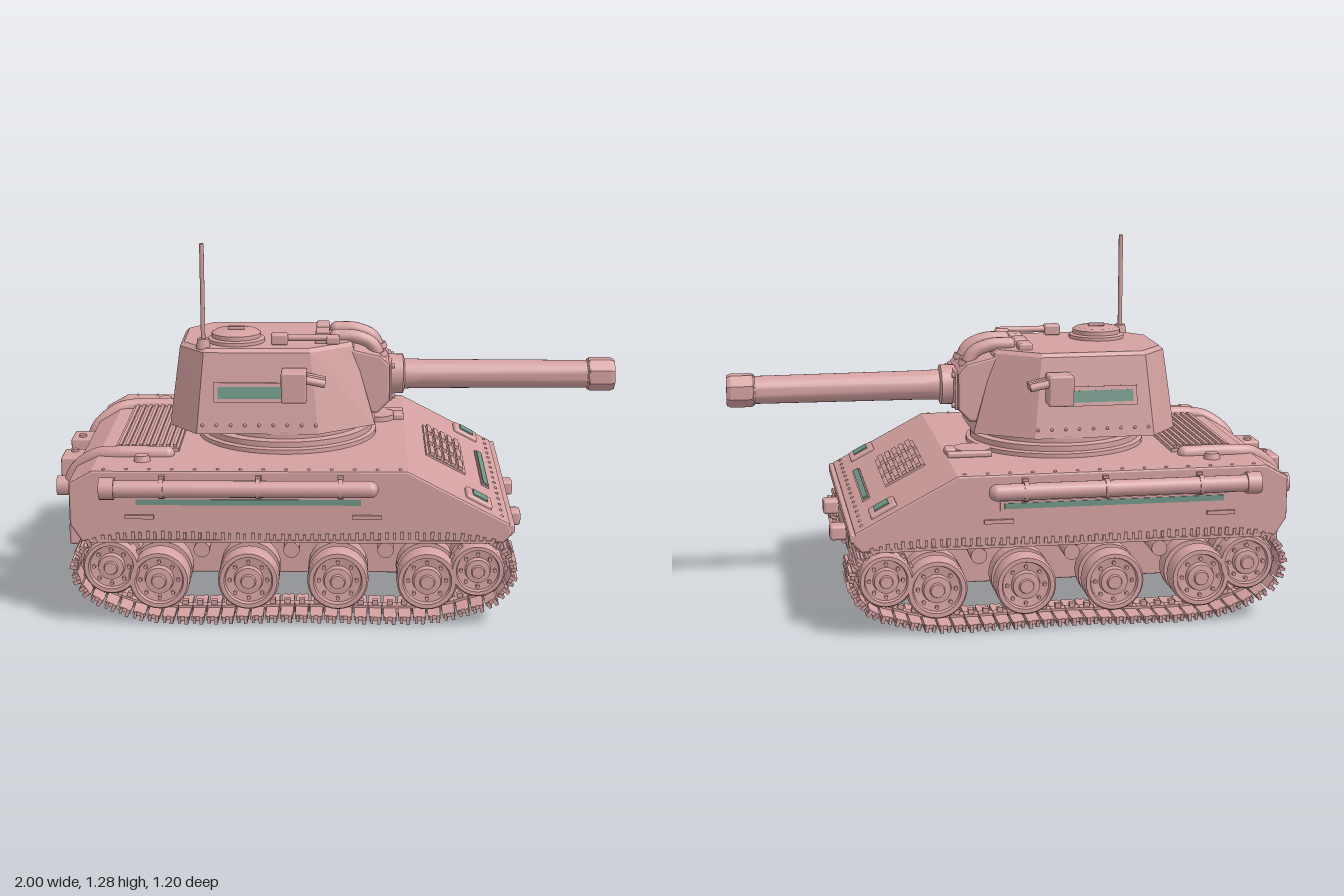
import * as THREE from 'three';
import { mergeGeometries, toCreasedNormals } from 'three/addons/utils/BufferGeometryUtils.js';
import { RoundedBoxGeometry } from 'three/addons/geometries/RoundedBoxGeometry.js';
import { ConvexGeometry } from 'three/addons/geometries/ConvexGeometry.js';

const SLOPE = -Math.atan(0.185 / 0.35); // tilt of the sloping bow plate
const slopeX = y => 0.24 + (0.555 - y) / 0.185 * 0.35;
const V = (x, y, z) => new THREE.Vector3(x, y, z);

export function createModel() {
  const model = new THREE.Group();
  const paint = new THREE.MeshStandardMaterial({ color: 0xd4a0a0 });
  paint.name = 'rose paint';
  const glass = new THREE.MeshStandardMaterial({ color: 0x6f9686 });
  glass.name = 'green glass';

  const add = (name, geo, pos = [0, 0, 0], rot = [0, 0, 0], mat = paint, parent = model) => {
    const m = new THREE.Mesh(geo, mat);
    m.name = name;
    m.position.set(...pos);
    m.rotation.set(...rot);
    parent.add(m);
    return m;
  };
  const box = (w, h, d) => new THREE.BoxGeometry(w, h, d);
  const rbox = (w, h, d, r = 0.008) => new RoundedBoxGeometry(w, h, d, 2, r);
  const cyl = (r, h, n = 24, r2 = r) => new THREE.CylinderGeometry(r2, r, h, n);
  const lathe = (pts, n = 32) =>
    toCreasedNormals(new THREE.LatheGeometry(pts.map(p => new THREE.Vector2(...p)), n), 0.6);
  const tube = (pts, r) =>
    new THREE.TubeGeometry(new THREE.CatmullRomCurve3(pts.map(p => V(...p)), false, 'centripetal'), 32, r, 14);
  // Side profile in x and y, extruded symmetrically across z
  const slab = (pts, half, bevel) => {
    const shape = new THREE.Shape(pts.map(p => new THREE.Vector2(...p)));
    const g = new THREE.ExtrudeGeometry(shape, {
      depth: 2 * (half - bevel), bevelEnabled: bevel > 0, bevelSize: bevel, bevelThickness: bevel,
      bevelOffset: -bevel, bevelSegments: 2 });
    return g.translate(0, 0, bevel - half);
  };
  const rivets = (name, list, r = 0.006) =>
    add(name, mergeGeometries(list.map(p => new THREE.SphereGeometry(r, 6, 4).translate(...p))));

  // Hull
  add('upperHull', slab([[-0.92, 0.36], [-0.88, 0.3], [0.57, 0.3], [0.6, 0.33], [0.59, 0.37], [0.24, 0.555],
    [-0.84, 0.555], [-0.92, 0.51]], 0.532, 0.008));
  add('lowerHull', slab([[-0.9, 0.32], [-0.9, 0.24], [-0.78, 0.108], [0.44, 0.108], [0.595, 0.235],
    [0.6, 0.325]], 0.302, 0.006));
  add('bowLip', rbox(0.03, 0.035, 1.06), [0.593, 0.35, 0]);

  // Bow grilles, vision strip and bow hooks
  for (const z of [-0.14, 0, 0.14]) {
    add('grilleFrame', box(0.16, 0.014, 0.112), [slopeX(0.48), 0.48, z], [0, 0, SLOPE]);
    for (let i = 0; i < 5; i++) {
      const y = 0.454 + i * 0.0135;
      add('grilleSlat', box(0.018, 0.014, 0.1), [slopeX(y) + 0.005, y + 0.009, z], [0, 0, SLOPE]);
    }
  }
  add('visionFrame', box(0.03, 0.012, 0.44), [slopeX(0.405), 0.405, 0], [0, 0, SLOPE]);
  add('visionStrip', box(0.02, 0.008, 0.42), [slopeX(0.405) + 0.003, 0.411, 0], [0, 0, SLOPE], glass);

  // Driver hatch
  add('driverHatch', cyl(0.068, 0.022, 28), [0.14, 0.563, -0.18]);
  add('driverHatchHinge', rbox(0.16, 0.022, 0.03), [0.16, 0.565, -0.25]);
  add('driverPeriscope', rbox(0.04, 0.03, 0.06), [0.22, 0.562, -0.18]);

  // Engine deck
  add('engineDeck', box(0.225, 0.02, 0.58), [-0.675, 0.558, 0]);
  for (let i = 0; i < 9; i++) add('deckSlat', box(0.012, 0.012, 0.56), [-0.771 + i * 0.024, 0.571, 0]);

  // Track path shared by both sides
  const path = new THREE.CatmullRomCurve3([[-0.64, 0.026], [-0.15, 0.026], [0.33, 0.026], [0.44, 0.052],
    [0.54, 0.09], [0.602, 0.19], [0.56, 0.28], [0.46, 0.312], [-0.15, 0.312], [-0.77, 0.312], [-0.868, 0.28],
    [-0.905, 0.2], [-0.868, 0.115], [-0.78, 0.065]].map(p => V(p[0], p[1], 0)), true, 'centripetal');
  const LINKS = 64;
  const link = () => mergeGeometries([
    box(0.044, 0.014, 0.21), box(0.012, 0.026, 0.225).translate(0.012, -0.006, 0),
    box(0.01, 0.022, 0.225).translate(-0.012, -0.005, 0), box(0.05, 0.03, 0.035),
    box(0.02, 0.03, 0.02).translate(0, 0.016, 0)]);
  const wheelProfile = r => [[0, -0.09], [r, -0.09], [r, -0.02], [r * 0.6, -0.02], [r * 0.6, 0.02], [r, 0.02],
    [r, 0.078], [r * 0.94, 0.088], [r * 0.8, 0.088], [r * 0.76, 0.074], [r * 0.48, 0.07], [r * 0.44, 0.09],
    [r * 0.25, 0.092], [r * 0.22, 0.102], [0, 0.102]];

  for (const s of [-1, 1]) {
    // Track
    const links = [];
    for (let i = 0; i < LINKS; i++) {
      const p = path.getPointAt(i / LINKS), t = path.getTangentAt(i / LINKS);
      links.push(link().rotateZ(Math.atan2(t.y, t.x)).translate(p.x, p.y, s * 0.425));
    }
    add('track', mergeGeometries(links));

    // Road wheels, idler and drive wheel
    const wheels = [[-0.62, 0.152, 0.106], [-0.31, 0.152, 0.106], [0, 0.152, 0.106], [0.31, 0.152, 0.106],
      [-0.785, 0.2, 0.098], [0.485, 0.19, 0.094]];
    wheels.forEach(([x, y, r], i) => {
      const g = new THREE.Group();
      g.name = i < 4 ? 'roadWheel' : i === 4 ? 'idlerWheel' : 'driveWheel';
      g.position.set(x, y, s * 0.425);
      g.rotation.x = s * Math.PI / 2;
      model.add(g);
      add('wheelBody', lathe(wheelProfile(r)), [0, 0, 0], [0, 0, 0], paint, g);
      for (let k = 0; k < 8; k++) {
        const a = k * Math.PI / 4;
        add('wheelBolt', cyl(0.007, 0.02, 6), [Math.cos(a) * r * 0.62, 0.074, Math.sin(a) * r * 0.62], [0, 0, 0], paint, g);
      }
      if (i > 3) for (let k = 0; k < 14; k++) {
        const a = k * Math.PI / 7;
        add('wheelTooth', box(0.02, 0.02, 0.016), [Math.cos(a) * r, 0.045, Math.sin(a) * r], [0, -a, 0], paint, g);
      }
      add('axle', cyl(0.03, 0.14, 12), [x, y, s * 0.32], [Math.PI / 2, 0, 0]);
    });
    for (const x of [-0.47, -0.16, 0.165])
      add('returnRoller', cyl(0.028, 0.2, 18), [x, 0.265, s * 0.41], [Math.PI / 2, 0, 0]);

    // Side stowage tube
    add('sideTube', cyl(0.029, 0.9, 20), [-0.34, 0.5, s * 0.562], [0, 0, Math.PI / 2]);
    add('sideTubeEnd', new THREE.SphereGeometry(0.029, 18, 12), [0.11, 0.5, s * 0.562]);
    add('sideTubeCap', cyl(0.038, 0.05, 20), [-0.785, 0.5, s * 0.56], [0, 0, Math.PI / 2]);
    for (const x of [-0.6, -0.27, 0.01]) {
      add('tubeClamp', cyl(0.034, 0.016, 20), [x, 0.5, s * 0.56], [0, 0, Math.PI / 2]);
      add('tubeBracket', box(0.02, 0.08, 0.02), [x, 0.5, s * 0.536]);
    }
    add('sideGlassFrame', box(0.8, 0.034, 0.008), [-0.305, 0.445, s * 0.532]);
    add('sideGlass', box(0.77, 0.02, 0.008), [-0.305, 0.445, s * 0.535], [0, 0, 0], glass);
    for (const x of [-0.68, 0.1]) add('sideStep', box(0.1, 0.014, 0.012), [x, 0.392, s * 0.535]);
    add('skirtTrim', box(1.4, 0.01, 0.008), [-0.16, 0.304, s * 0.532]);

    // Headlamps and hooks
    add('lampFrame', rbox(0.1, 0.024, 0.105), [slopeX(0.425), 0.427, s * 0.43], [0, 0, SLOPE]);
    add('lampGlass', box(0.055, 0.008, 0.062), [slopeX(0.425) + 0.006, 0.438, s * 0.43], [0, 0, SLOPE], glass);
    add('bowHook', rbox(0.06, 0.055, 0.065, 0.012), [0.625, 0.285, s * 0.183]);
    add('sternHook', rbox(0.05, 0.08, 0.06, 0.01), [-0.93, 0.26, s * 0.3]);

    // Exhaust, stern boxes and deck caps
    add('exhaustPipe', tube([[-0.6, 0.56, s * 0.335], [-0.78, 0.56, s * 0.335], [-0.85, 0.548, s * 0.32],
      [-0.925, 0.49, s * 0.3], [-0.95, 0.43, s * 0.295]], 0.027));
    add('exhaustStart', new THREE.SphereGeometry(0.027, 14, 10), [-0.6, 0.56, s * 0.335]);
    add('exhaustTip', cyl(0.035, 0.07, 18), [-0.96, 0.43, s * 0.295], [0, 0, Math.PI / 2]);
    add('sternBox', rbox(0.085, 0.14, 0.12), [-0.957, 0.43, s * 0.125]);
    add('sternBoxKnob', cyl(0.014, 0.012, 12), [-0.96, 0.503, s * 0.1]);
    add('deckCap', cyl(0.03, 0.022, 20, 0.024), [-0.68, 0.564, s * 0.405]);

    // Turret side window and smoke tubes
    const tilt = -s * 0.17;
    add('turretWindowFrame', box(0.28, 0.07, 0.012), [-0.3, 0.762, s * 0.261], [tilt, 0, 0]);
    add('turretWindow', box(0.25, 0.042, 0.009), [-0.3, 0.762, s * 0.266], [tilt, 0, 0], glass);
    add('smokeBox', rbox(0.09, 0.11, 0.085), [-0.155, 0.795, s * 0.292]);
    for (const z of [0.262, 0.289, 0.316])
      add('smokeTube', cyl(0.014, 0.08, 14), [-0.085, 0.815, s * z], [0, 0, Math.PI / 2 + 0.2 - 0.4]);
  }

  // Turret ring and body
  add('turretRing', lathe([[0, 0.55], [0.325, 0.55], [0.325, 0.57], [0.31, 0.575], [0.31, 0.595], [0.285, 0.6],
    [0.285, 0.625], [0, 0.625]], 48), [-0.19, 0, 0]);
  const ring = (y, x0, x1, x2, x3, za, zb) => [-1, 1].flatMap(s =>
    [V(x0, y, s * za), V(x1, y, s * zb), V(x2, y, s * zb), V(x3, y, s * za)]);
  add('turretBody', new ConvexGeometry([
    ...ring(0.617, -0.605, -0.5, -0.07, 0.13, 0.15, 0.285),
    ...ring(0.9, -0.567, -0.475, -0.1, 0.05, 0.125, 0.237),
    ...ring(0.913, -0.553, -0.465, -0.106, 0.035, 0.118, 0.224)]));

  // Mantlet and gun
  add('mantlet', slab([[0.0, 0.655], [0.14, 0.655], [0.183, 0.7], [0.183, 0.83], [0.15, 0.865], [0, 0.9]], 0.133, 0.008));
  add('mantletPlate', rbox(0.014, 0.14, 0.225, 0.005), [0.184, 0.765, 0]);
  for (const y of [0.71, 0.82]) for (const z of [-0.095, 0.095])
    add('mantletBolt', cyl(0.01, 0.014, 8), [0.194, y, z], [0, 0, Math.PI / 2]);
  add('gunBarrel', lathe([[0, 0.18], [0.072, 0.18], [0.072, 0.232], [0.055, 0.238], [0.053, 0.3], [0.05, 0.9],
    [0.058, 0.905], [0.058, 0.915], [0.03, 0.915]]), [0, 0.77, 0], [0, 0, -Math.PI / 2]);
  add('muzzle', toCreasedNormals(lathe([[0, 0.9], [0.054, 0.9], [0.062, 0.912], [0.062, 0.985], [0.055, 1], [0.036, 1],
    [0.034, 0.95], [0, 0.95]], 8), 0.3).rotateY(Math.PI / 8), [0, 0.77, 0], [0, 0, -Math.PI / 2]);

  // Roof pipes, periscopes, hatch, gun and aerial
  for (const z of [-0.068, 0.068]) {
    add('roofPipe', tube([[-0.01, 0.925, z], [0.06, 0.922, z], [0.12, 0.895, z], [0.15, 0.835, z]], 0.024));
    add('roofPipeEnd', new THREE.SphereGeometry(0.024, 14, 10), [-0.01, 0.925, z]);
    add('roofPipeCollar', cyl(0.03, 0.02, 16), [0.145, 0.855, z], [0, 0, 0.4]);
  }
  for (const z of [-0.11, 0, 0.11]) add('periscope', rbox(0.05, 0.03, 0.07), [-0.06, 0.922, z]);
  add('commanderHatch', lathe([[0, 0.905], [0.102, 0.905], [0.102, 0.925], [0.088, 0.93], [0.088, 0.945],
    [0.075, 0.953], [0, 0.955]]), [-0.367, 0, 0.1]);
  add('hatchHandle', rbox(0.06, 0.012, 0.014, 0.004), [-0.367, 0.96, 0.1]);
  add('roofGunBody', rbox(0.06, 0.04, 0.045), [-0.21, 0.935, 0.165]);
  add('roofGunBarrel', cyl(0.012, 0.2, 12), [-0.1, 0.938, 0.16], [0, 0, Math.PI / 2]);
  add('roofGunTip', rbox(0.05, 0.03, 0.04), [-0.02, 0.93, 0.155]);
  add('aerialBase', cyl(0.026, 0.035, 16, 0.02), [-0.478, 0.925, 0.195]);
  add('aerial', cyl(0.008, 0.36, 10), [-0.478, 1.1, 0.195]);

  // Rivets
  const list = [];
  for (let i = 0; i < 14; i++) for (const s of [-1, 1]) list.push([-0.8 + i * 0.078, 0.555, s * 0.515]);
  for (let i = 0; i < 16; i++) list.push([slopeX(0.383), 0.384, -0.49 + i * 0.0653]);
  for (let i = 0; i < 9; i++) for (const s of [-1, 1]) list.push([-0.48 + i * 0.05, 0.648, s * 0.28]);
  rivets('rivets', list);
  return model;
}
